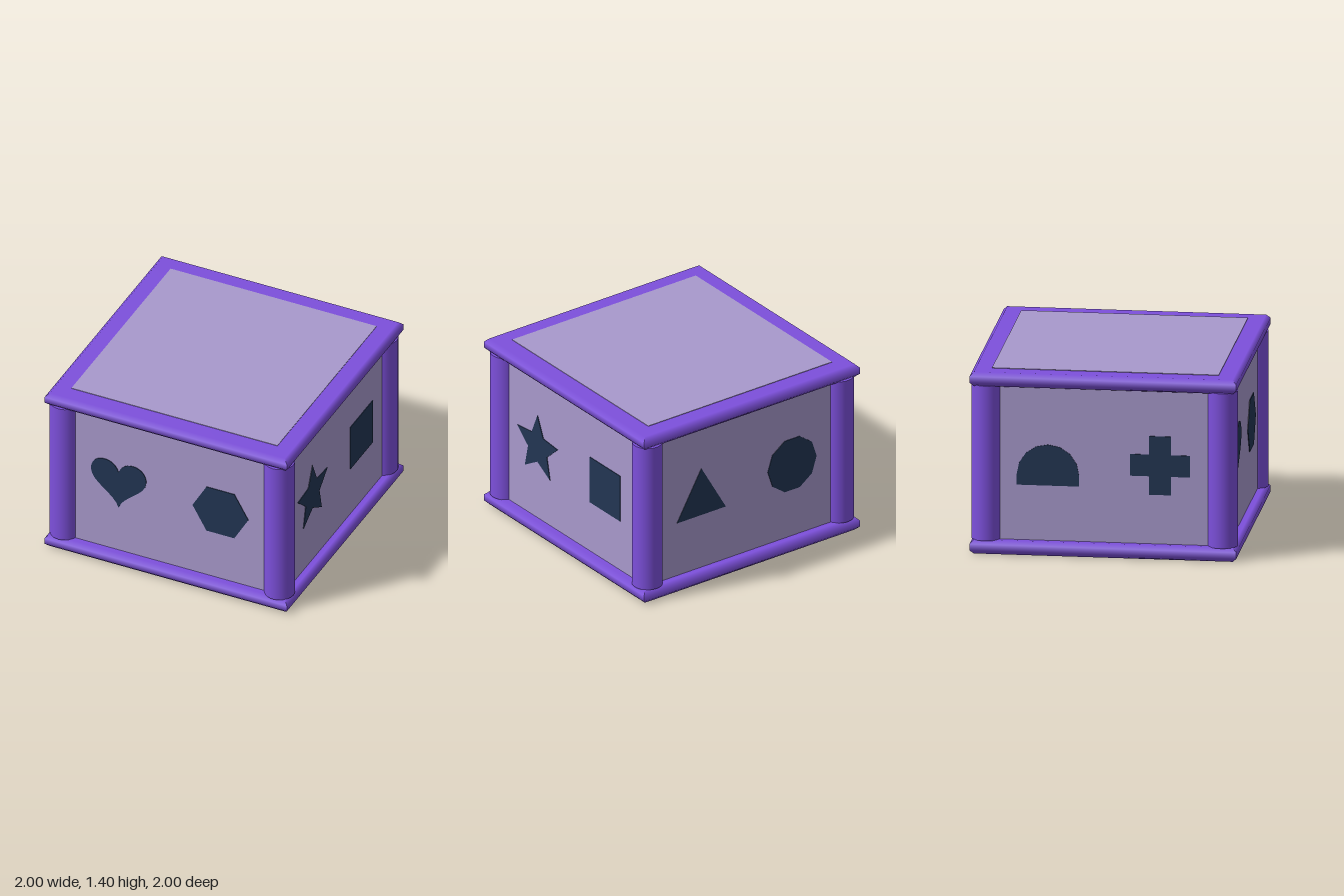
import * as THREE from 'three';

const material = (name, color) => {
  const m = new THREE.MeshStandardMaterial({ color });
  m.name = name;
  return m;
};

// Square slab with chamfered edges: soft profile, crisp mitred corners
function slabGeometry(h, c) {
  const profile = [[0, 0], [1 - c, 0], [1, c], [1, h - c], [1 - c, h], [0, h]]
    .map(([r, y]) => new THREE.Vector2(r * Math.SQRT2, y));
  const geo = new THREE.LatheGeometry(profile, 4, Math.PI / 4).toNonIndexed();
  const p = geo.attributes.position, n = geo.attributes.normal;
  for (let i = 0; i < p.count; i += 3) {
    const ys = [0, 1, 2].map(k => p.getY(i + k));
    if (Math.max(...ys) - Math.min(...ys) < 1e-5) continue; // flat caps
    const cx = p.getX(i) + p.getX(i + 1) + p.getX(i + 2);
    const cz = p.getZ(i) + p.getZ(i + 1) + p.getZ(i + 2);
    const alongX = Math.abs(cx) > Math.abs(cz);
    for (let k = i; k < i + 3; k++) {
      const ny = n.getY(k), s = Math.sqrt(1 - ny * ny);
      n.setXYZ(k, alongX ? Math.sign(cx) * s : 0, ny, alongX ? 0 : Math.sign(cz) * s);
    }
  }
  return geo;
}

const polygon = points => new THREE.Shape(points.map(([x, y]) => new THREE.Vector2(x, y)));

// Regular polygon, or a star when a second radius is given
function radial(count, start, ...radii) {
  const pts = [];
  for (let i = 0; i < count; i++) {
    const a = start + i / count * Math.PI * 2, r = radii[i % radii.length];
    pts.push([r * Math.cos(a), r * Math.sin(a)]);
  }
  return polygon(pts);
}

function heart() {
  const s = new THREE.Shape();
  s.moveTo(0, -0.215);
  s.bezierCurveTo(0.03, -0.1, 0.228, -0.04, 0.228, 0.08);
  s.bezierCurveTo(0.228, 0.15, 0.18, 0.195, 0.115, 0.195);
  s.bezierCurveTo(0.05, 0.195, 0.015, 0.15, 0, 0.105);
  s.bezierCurveTo(-0.015, 0.15, -0.05, 0.195, -0.115, 0.195);
  s.bezierCurveTo(-0.18, 0.195, -0.228, 0.15, -0.228, 0.08);
  s.bezierCurveTo(-0.228, -0.04, -0.03, -0.1, 0, -0.215);
  return s;
}

function arch() {
  const pts = [[-0.234, -0.18], [0.234, -0.18]];
  for (let i = 0; i <= 8; i++) {
    const a = i / 8 * Math.PI;
    pts.push([0.234 * Math.cos(a), -0.1 + 0.234 * Math.sin(a)]);
  }
  return polygon(pts);
}

function cross(a, b) {
  return polygon([[-b, -a], [b, -a], [b, -b], [a, -b], [a, b], [b, b],
    [b, a], [-b, a], [-b, b], [-a, b], [-a, -b], [-b, -b]]);
}

export function createModel() {
  const purple = material('purple frame', 0x7d50dc);
  const lavender = material('lavender panel', 0xa899cc);
  const navy = material('navy shape', 0x223553);
  const model = new THREE.Group();
  model.name = 'shapeSorterBox';

  const add = (name, geo, mat, x, y, z, parent = model) => {
    const mesh = new THREE.Mesh(geo, mat);
    mesh.name = name;
    mesh.position.set(x, y, z);
    parent.add(mesh);
    return mesh;
  };

  // Base, lid and walls
  const slab = slabGeometry(0.108, 0.03);
  add('base', slab, purple, 0, 0, 0);
  add('lid', slab, purple, 0, 1.288, 0);
  add('lidPanel', new THREE.BoxGeometry(1.7, 0.008, 1.7), lavender, 0, 1.396, 0);
  add('walls', new THREE.BoxGeometry(1.86, 1.2, 1.86), lavender, 0, 0.7, 0);

  // Corner posts
  const post = new THREE.CylinderGeometry(0.115, 0.115, 1.19, 32);
  for (const x of [-1, 1]) for (const z of [-1, 1])
    add('cornerPost', post, purple, x * 0.885, 0.7, z * 0.885);

  // Two shapes on every wall: [name, outline, centre height]
  const up = Math.PI / 2;
  const sides = [
    ['frontShapes', 0, ['heart', heart(), 0.71], ['hexagon', radial(6, 0, 0.23), 0.71]],
    ['rightShapes', up, ['star', radial(10, up, 0.265, 0.123), 0.705], ['square', radial(4, up / 2, 0.269), 0.71]],
    ['backShapes', 2 * up, ['triangle', radial(3, up, 0.26), 0.68], ['circle', radial(10, 0, 0.225), 0.71]],
    ['leftShapes', 3 * up, ['arch', arch(), 0.71], ['cross', cross(0.225, 0.083), 0.71]],
  ];
  for (const [name, angle, ...shapes] of sides) {
    const side = new THREE.Group();
    side.name = name;
    side.rotation.y = angle;
    model.add(side);
    shapes.forEach(([label, shape, y], i) => {
      const geo = new THREE.ExtrudeGeometry(shape, { depth: 0.006, bevelEnabled: false, curveSegments: 8 });
      add(label, geo, navy, i ? 0.42 : -0.42, y, 0.929, side);
    });
  }
  return model;
}
